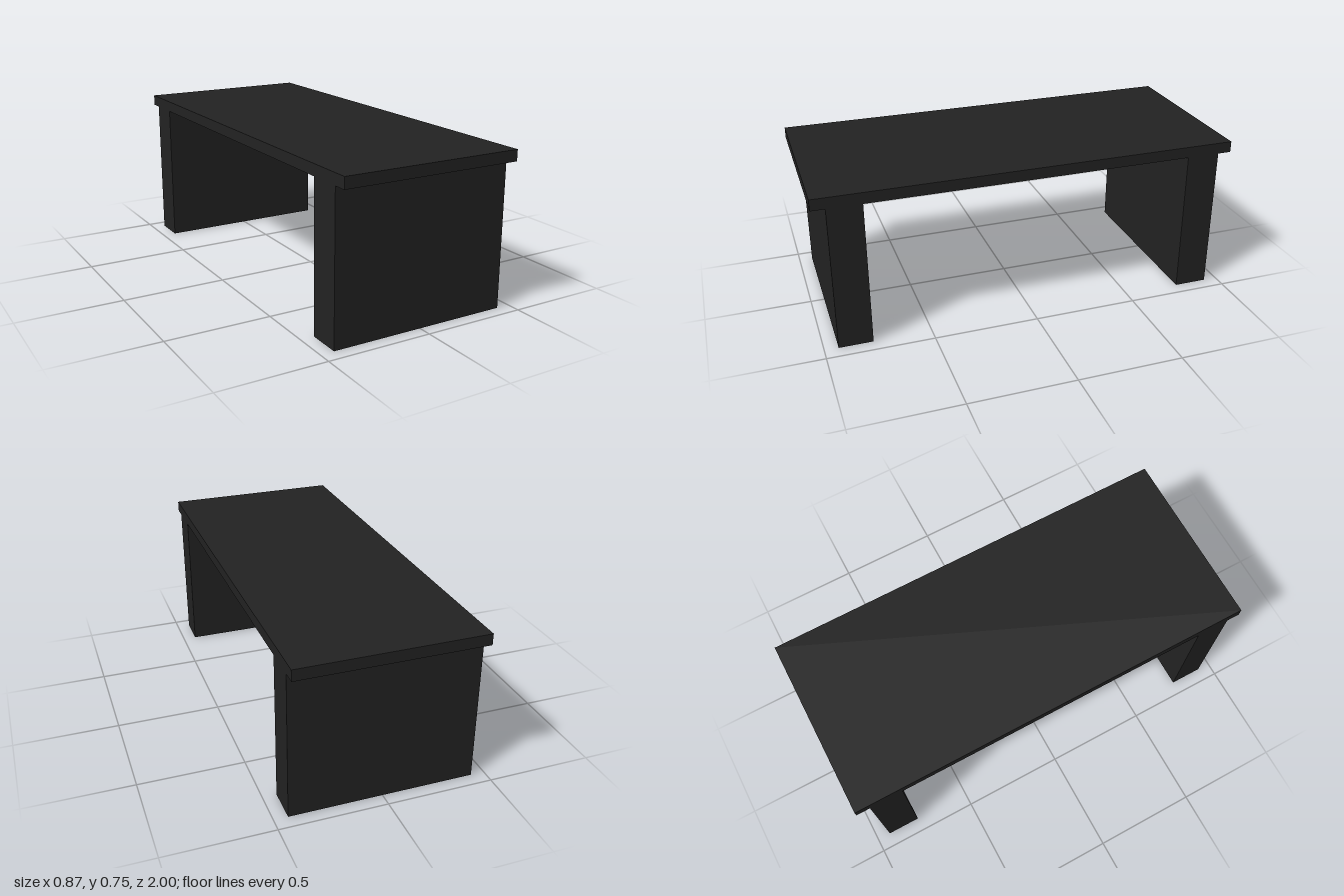
import * as THREE from 'three';

const WIDTH = 0.87;
const LENGTH = 2;
const HEIGHT = 0.753;
const TOP_THICKNESS = 0.053;
const LEG_THICKNESS = 0.16;
const LEG_OFFSET = 0.855;

export function createModel() {
  const table = new THREE.Group();
  table.name = 'table';

  const charcoal = new THREE.MeshStandardMaterial({ color: 0x222222 });
  charcoal.name = 'charcoal';

  const addSlab = (name, height, depth, y, z) => {
    const slab = new THREE.Mesh(new THREE.BoxGeometry(WIDTH, height, depth), charcoal);
    slab.name = name;
    slab.position.set(0, y, z);
    table.add(slab);
  };

  // Table top, overhanging the legs at both ends
  addSlab('tableTop', TOP_THICKNESS, LENGTH, HEIGHT - TOP_THICKNESS / 2, 0);

  // Full-width slab legs
  const legHeight = HEIGHT - TOP_THICKNESS;
  for (const [name, side] of [['frontLeg', 1], ['backLeg', -1]]) {
    addSlab(name, legHeight, LEG_THICKNESS, legHeight / 2, side * LEG_OFFSET);
  }

  return table;
}
